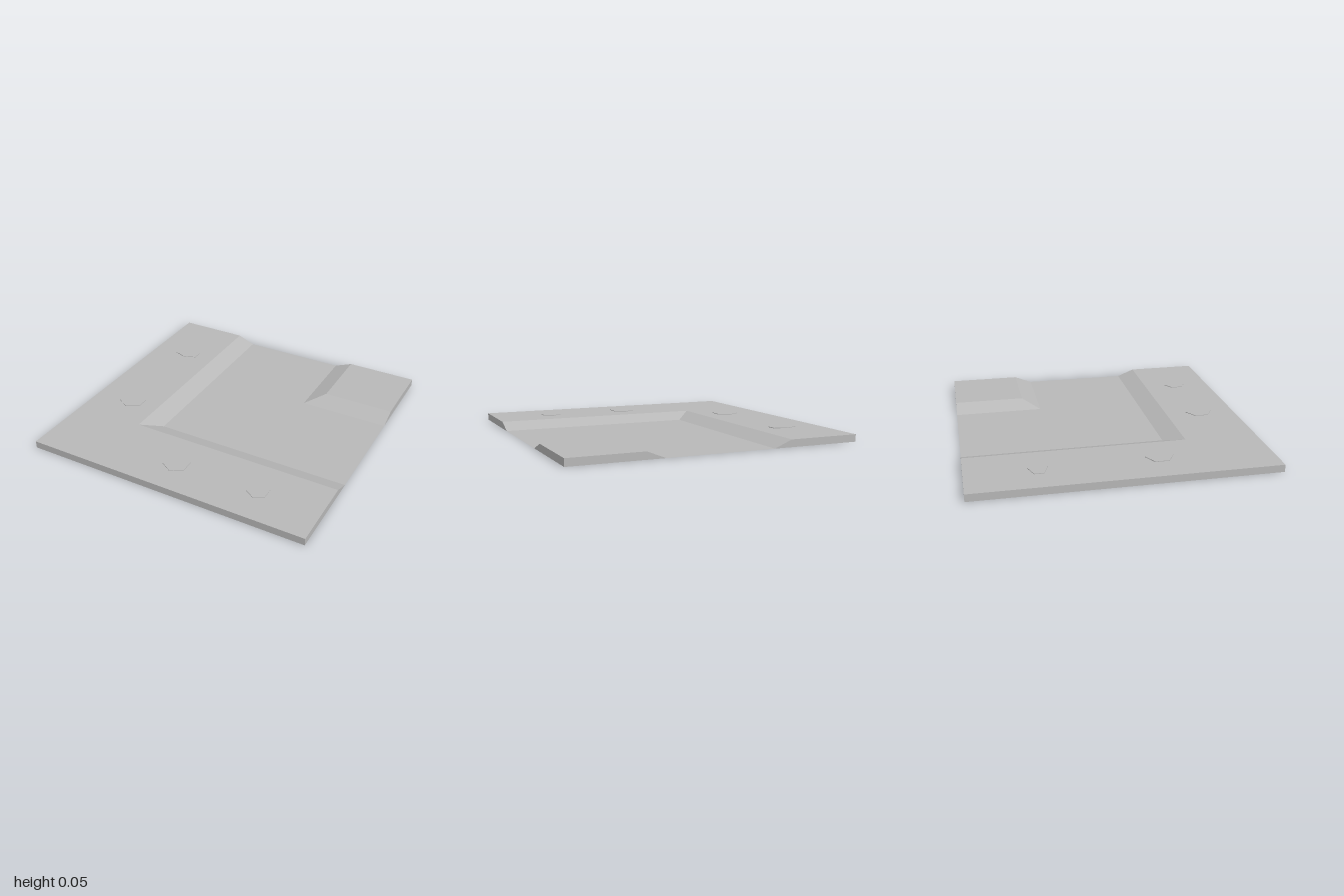
import * as THREE from 'three';

const H = 0.05; // height of the raised ground

export function createModel() {
  const group = new THREE.Group();
  const stone = new THREE.MeshStandardMaterial({ color: 0xb8b8b8, side: THREE.DoubleSide });
  stone.name = 'stoneGrey';

  const addQuads = (name, quads) => {
    const points = quads.flatMap(([a, b, c, d]) => [a, b, c, a, c, d]).flat();
    const geometry = new THREE.BufferGeometry();
    geometry.setAttribute('position', new THREE.Float32BufferAttribute(points, 3));
    geometry.computeVertexNormals();
    const mesh = new THREE.Mesh(geometry, stone);
    mesh.name = name;
    group.add(mesh);
  };

  // Nested L-shaped bands, from the outer corner to the inner one: [offset, height]
  const bands = [[-1, H], [-0.5, H], [-0.375, 0], [0.375, 0], [0.5, H], [1, H]];
  const names = ['outerGround', 'outerBank', 'channelFloor', 'innerBank', 'innerGround'];
  const ends = [];
  names.forEach((name, i) => {
    const [a, ha] = bands[i];
    const [b, hb] = bands[i + 1];
    addQuads(name, [
      [[a, ha, -1], [a, ha, -a], [b, hb, -b], [b, hb, -1]],
      [[a, ha, -a], [1, ha, -a], [1, hb, -b], [b, hb, -b]],
    ]);
    // Side walls where the channel leaves the tile
    if (ha + hb > 0) {
      ends.push(
        [[b, 0, -1], [a, 0, -1], [a, ha, -1], [b, hb, -1]],
        [[1, 0, -a], [1, 0, -b], [1, hb, -b], [1, ha, -a]],
      );
    }
  });
  addQuads('channelEndWalls', ends);

  // Straight walls on the front and the right; the underside stays open
  addQuads('outerWalls', [
    [[-1, 0, -1], [-1, 0, 1], [-1, H, 1], [-1, H, -1]],
    [[-1, 0, 1], [1, 0, 1], [1, H, 1], [-1, H, 1]],
  ]);

  // Thin six-sided flat stones on the outer ground: x, z, half width, half depth
  const stones = [
    [-0.73, -0.535, 0.09, 0.065],
    [-0.715, 0.255, 0.085, 0.095],
    [-0.03, 0.745, 0.08, 0.095],
    [0.565, 0.74, 0.065, 0.08],
  ];
  for (const [x, z, w, d] of stones) {
    const geometry = new THREE.CylinderGeometry(1, 1, 0.004, 6).toNonIndexed();
    geometry.scale(w / 0.866, 1, d);
    geometry.computeVertexNormals();
    const mesh = new THREE.Mesh(geometry, stone);
    mesh.name = 'flatStone';
    mesh.position.set(x, H + 0.002, z);
    group.add(mesh);
  }
  return group;
}
